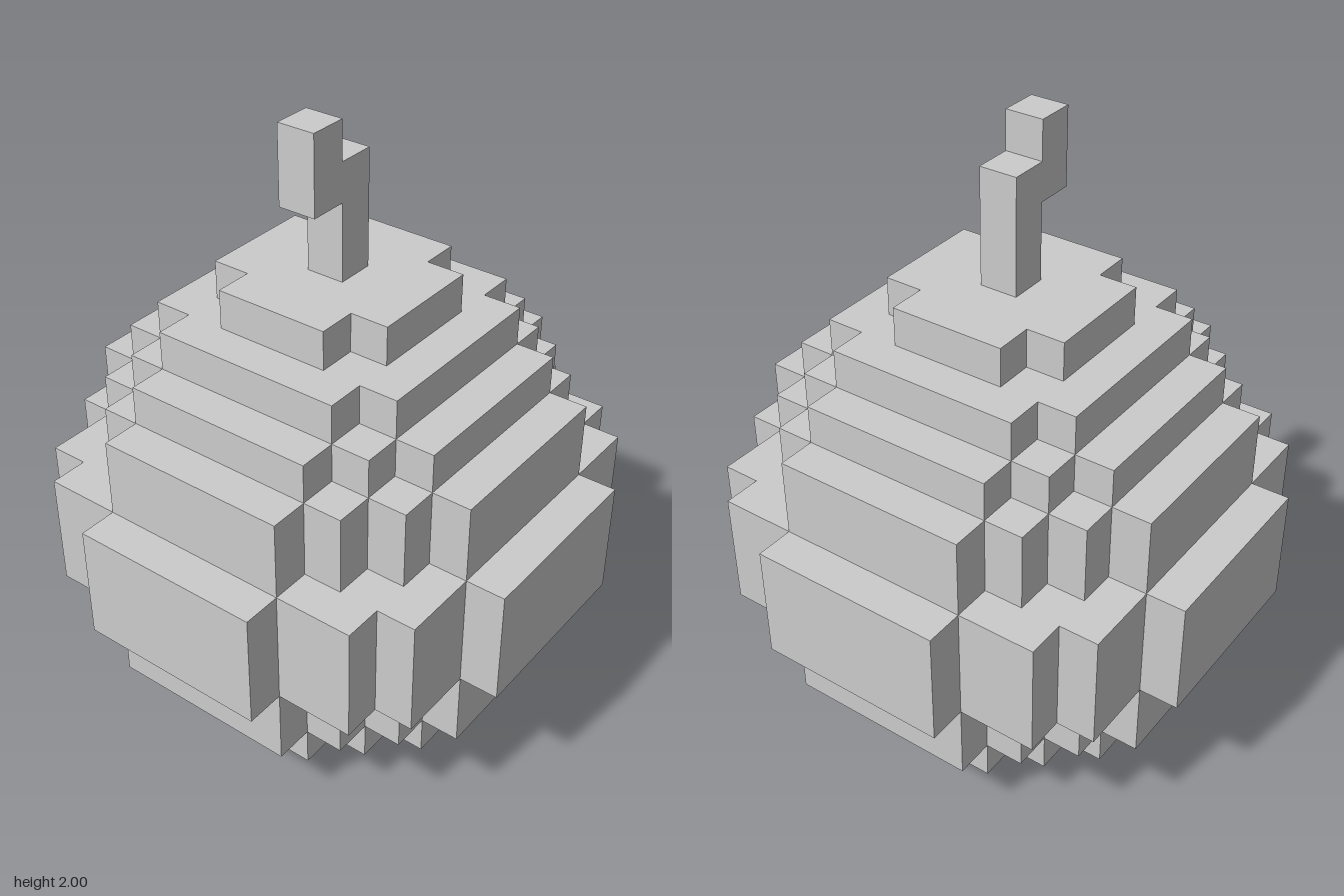
import * as THREE from 'three';

const U = 0.125; // one block
const material = new THREE.MeshStandardMaterial({ color: 0xcccccc, flatShading: true });

// Extrude a block-unit outline along z
function extrude(points, depth) {
  const shape = new THREE.Shape(points.map(([x, y]) => new THREE.Vector2(x * U, y * U)));
  return new THREE.ExtrudeGeometry(shape, { depth: depth * U, bevelEnabled: false });
}

// Stepped disc outline: corners are [x, z] of the first quadrant, mirrored to all four
function steppedOutline(corners) {
  const quarter = [];
  corners.forEach(([x, z], i) => {
    if (i > 0) quarter.push([x, corners[i - 1][1]]); // inner corner of the step
    quarter.push([x, z]);
  });
  const back = [...quarter].reverse();
  return [
    ...quarter,
    ...back.map(([x, z]) => [-x, z]),
    ...quarter.map(([x, z]) => [-x, -z]),
    ...back.map(([x, z]) => [x, -z]),
  ];
}

// Discs from widest to smallest, corners running from the side (+x) to the front (+z)
const DISC = {
  widest: [[6.5, 2.5], [5.5, 4.5], [4.5, 5.5], [2.5, 6.5]],
  wide: [[5.5, 2.5], [4.5, 3.5], [3.5, 4.5], [2.5, 5.5]],
  medium: [[4.5, 2.5], [3.5, 3.5], [2.5, 4.5]],
  small: [[3.5, 2.5], [2.5, 3.5]],
  tiny: [[2.5, 1.5], [1.5, 2.5]],
};

// Body layers from the ground up: name, disc, height in blocks
const LAYERS = [
  ['base', 'tiny', 1],
  ['lowerStep', 'medium', 1],
  ['lowerBody', 'wide', 2],
  ['middleBand', 'widest', 3],
  ['upperBody', 'wide', 2],
  ['upperStep', 'medium', 1],
  ['shoulder', 'small', 1],
  ['crown', 'tiny', 1],
];

export function createModel() {
  const model = new THREE.Group();
  model.name = 'blockFruit';

  // Round body of stacked stepped discs
  const body = new THREE.Group();
  body.name = 'body';
  let y = 0;
  for (const [name, disc, height] of LAYERS) {
    const geometry = extrude(steppedOutline(DISC[disc]), height);
    geometry.rotateX(-Math.PI / 2);
    const layer = new THREE.Mesh(geometry, material);
    layer.name = name;
    layer.position.y = y * U;
    body.add(layer);
    y += height;
  }
  model.add(body);

  // Crooked stem, stepping to the right at its tip
  const stem = new THREE.Mesh(extrude([
    [-0.5, 0], [0.5, 0], [0.5, 3], [-0.5, 3],
    [-0.5, 4], [-1.5, 4], [-1.5, 2], [-0.5, 2],
  ], 1), material);
  stem.name = 'stem';
  stem.position.set(0, y * U, -U / 2);
  model.add(stem);

  return model;
}
